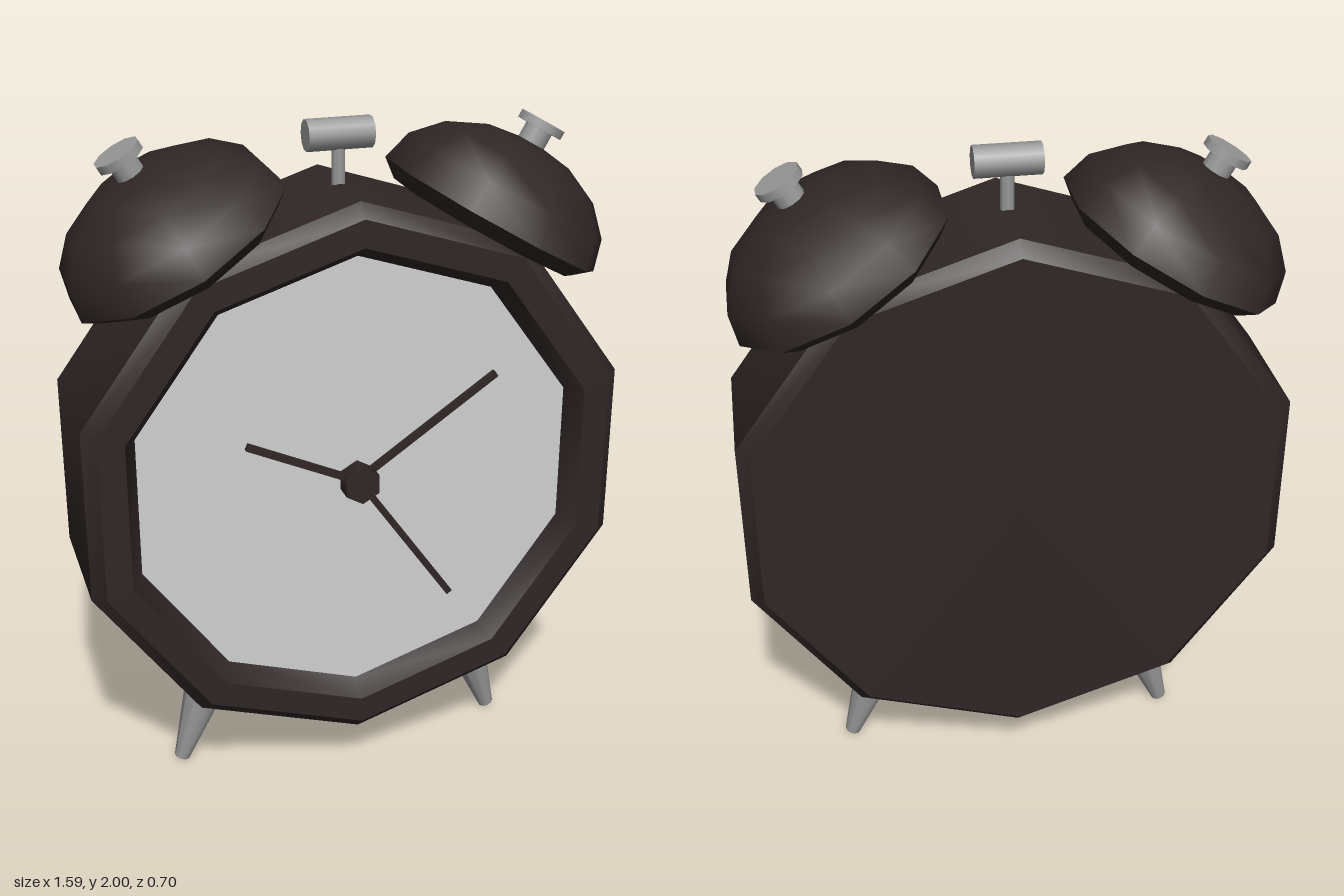
import * as THREE from 'three';
import { toCreasedNormals } from 'three/addons/utils/BufferGeometryUtils.js';

const SIDES = 10;
const CENTRE_Y = 0.985;

export function createModel() {
  const model = new THREE.Group();
  model.name = 'alarmClock';

  const material = (name, color) => {
    const m = new THREE.MeshStandardMaterial({ color });
    m.name = name;
    return m;
  };
  const casing = material('darkCasing', 0x302626);
  const dialPaint = material('paleDial', 0xd0d0d0);
  const metal = material('greyMetal', 0x999999);

  const add = (name, geometry, mat, parent = model) => {
    const mesh = new THREE.Mesh(geometry, mat);
    mesh.name = name;
    parent.add(mesh);
    return mesh;
  };
  const lathe = (points, crease) => toCreasedNormals(
    new THREE.LatheGeometry(points.map(([r, y]) => new THREE.Vector2(r, y)), SIDES), crease);
  // Cylinder running from a to b with its own radius at each end
  const rod = (name, a, b, ra, rb, mat, parent, sides = SIDES) => {
    const from = new THREE.Vector3(...a);
    const to = new THREE.Vector3(...b);
    const dir = to.clone().sub(from);
    const mesh = add(name, new THREE.CylinderGeometry(rb, ra, dir.length(), sides), mat, parent);
    mesh.position.copy(from).add(to).multiplyScalar(0.5);
    mesh.quaternion.setFromUnitVectors(new THREE.Vector3(0, 1, 0), dir.normalize());
    return mesh;
  };

  // Ten-sided case with bevelled edges and a sloped recess for the dial
  const body = add('body', lathe([
    [0, -0.24], [0.795, -0.24], [0.835, -0.2], [0.835, 0.21],
    [0.795, 0.25], [0.715, 0.25], [0.675, 0.185],
  ], 0.7), casing);
  body.rotation.x = Math.PI / 2;
  body.position.y = CENTRE_Y;

  // Dial
  const dial = add('dial', new THREE.CircleGeometry(0.675, SIDES, Math.PI / 2), dialPaint);
  dial.position.set(0, CENTRE_Y, 0.186);

  // Hands and hub
  const hands = [
    ['hourHand', -0.332, 1.14, 0.208],
    ['minuteHand', 0.417, 1.273, 0.2],
    ['alarmHand', 0.29, 0.573, 0.204],
  ];
  for (const [name, x, y, z] of hands) {
    const dy = y - 0.988;
    const hand = add(name, new THREE.BoxGeometry(Math.hypot(x, dy), 0.02, 0.016), casing);
    hand.position.set(x / 2, 0.988 + dy / 2, z);
    hand.rotation.z = Math.atan2(dy, x);
  }
  const hub = add('handHub', new THREE.CylinderGeometry(0.057, 0.057, 0.06, 6), casing);
  hub.rotation.x = Math.PI / 2;
  hub.position.set(0, 0.988, 0.215);

  // Bell profile: flat underside, narrow lip, flattened dome
  const bellProfile = [[0, -0.042], [0.298, -0.042]];
  for (let i = 0; i <= 4; i++) {
    const a = (i / 4) * Math.PI / 2;
    bellProfile.push([i === 4 ? 0 : 0.35 * Math.cos(a), 0.24 * Math.sin(a)]);
  }
  const bellGeometry = lathe(bellProfile, 1.0);

  for (const [side, s] of [['left', 1], ['right', -1]]) {
    // Tilted bell with its button
    const bell = new THREE.Group();
    bell.name = side + 'BellGroup';
    bell.position.set(s * 0.465, 1.685, 0);
    bell.rotation.z = -s * Math.PI / 6;
    model.add(bell);
    add(side + 'Bell', bellGeometry, casing, bell);
    rod(side + 'ButtonStem', [0, 0.2, 0], [0, 0.285, 0], 0.042, 0.042, metal, bell);
    rod(side + 'ButtonCap', [0, 0.28, 0], [0, 0.305, 0], 0.07, 0.07, metal, bell);

    // Splayed, tapered leg
    rod(side + 'Leg', [s * 0.517, 0.003, 0], [s * 0.375, 0.42, 0], 0.024, 0.093, metal);
  }

  // Hammer between the bells
  rod('hammerStem', [0, 1.78, 0.005], [0, 1.94, 0.005], 0.02, 0.02, metal, model, 8);
  rod('hammerHead', [-0.095, 1.957, 0.005], [0.095, 1.957, 0.005], 0.045, 0.045, metal);

  return model;
}
